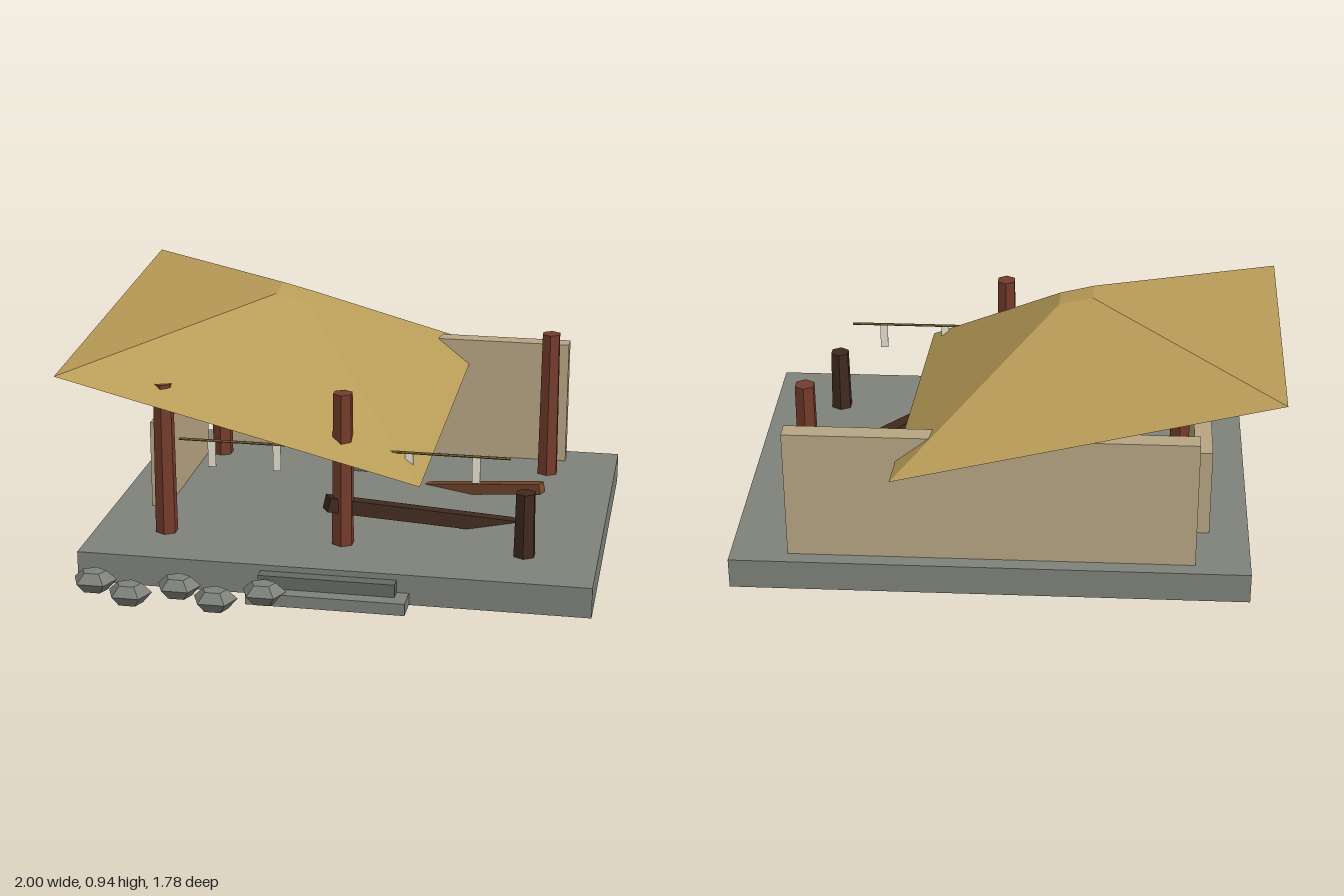
import * as THREE from 'three';

const mat = (color) => new THREE.MeshStandardMaterial({ color, flatShading: true });
const stone = mat(0x7f827b), darkStone = mat(0x666964), plaster = mat(0xb8a684);
const redWood = mat(0x743c2c), charred = mat(0x3f2a1e), brownWood = mat(0x75492c);
const thatch = mat(0xb99c58), rope = mat(0x8a7340), paper = mat(0xe8e2d2), violet = mat(0x6f3fc0);

export function createModel() {
  const model = new THREE.Group();

  const add = (name, geometry, material, x = 0, y = 0, z = 0) => {
    const mesh = new THREE.Mesh(geometry, material);
    mesh.name = name;
    mesh.position.set(x, y, z);
    model.add(mesh);
    return mesh;
  };

  // Box given by its extents
  const block = (name, material, x0, x1, y0, y1, z0, z1) =>
    add(name, new THREE.BoxGeometry(x1 - x0, y1 - y0, z1 - z0), material,
      (x0 + x1) / 2, (y0 + y1) / 2, (z0 + z1) / 2);

  // Square timber running between two points
  const beam = (name, material, from, to, size) => {
    const a = new THREE.Vector3(...from), b = new THREE.Vector3(...to);
    const mesh = add(name, new THREE.BoxGeometry(size, size, a.distanceTo(b)), material);
    mesh.position.copy(a).lerp(b, 0.5);
    mesh.lookAt(b);
  };

  // Platform and front steps
  const floor = 0.115;
  block('platform', stone, -0.89, 1, 0, floor, -0.78, 0.655);
  block('lowerStep', stone, -0.235, 0.345, 0, 0.045, 0.64, 0.755);
  block('upperStep', darkStone, -0.2, 0.3, 0.045, 0.093, 0.64, 0.702);

  // Walls
  block('backWall', plaster, -0.69, 0.79, floor, 0.612, -0.725, -0.657);
  block('sideWall', plaster, -0.745, -0.68, floor, 0.455, -0.505, 0.145);

  // Hexagonal posts, one broken off short
  const post = (name, material, x, z, top) =>
    add(name, new THREE.CylinderGeometry(0.038, 0.043, top - floor, 6), material, x, (top + floor) / 2, z);
  for (const [x, z] of [[-0.62, 0.39], [0.055, 0.39], [0.73, -0.51], [-0.62, -0.51]]) {
    post('post', redWood, x, z, 0.7);
  }
  post('brokenPost', charred, 0.73, 0.39, 0.36);

  // Collapsed hip roof, tilted to one corner
  const roof = add('roof', new THREE.CylinderGeometry(0.063 * Math.SQRT2, 0.7 * Math.SQRT2, 0.29, 4),
    thatch, -0.27, 0.774, -0.181);
  roof.rotation.set(0.1, Math.PI / 4, -0.245, 'ZXY');

  // Fallen beams
  beam('fallenBeam', charred, [0.0, 0.28, 0.42], [0.66, 0.09, 0.045], 0.054);
  beam('fallenBeam', brownWood, [0.745, 0.196, -0.105], [0.25, 0.09, -0.31], 0.042);

  // Altar with orb
  block('altar', darkStone, -0.1, 0.21, floor, 0.24, -0.565, -0.385);
  add('orb', new THREE.IcosahedronGeometry(0.045, 1), violet, 0.055, 0.283, -0.473);

  // Rope with hanging paper strips
  const line = add('rope', new THREE.CylinderGeometry(0.005, 0.005, 1.235, 6), rope, 0.055, 0.487, 0.395);
  line.rotation.z = Math.PI / 2;
  for (let i = -2; i <= 2; i++) {
    add('paperStrip', new THREE.BoxGeometry(0.03, 0.1, 0.005), paper, 0.055 + i * 0.2465, 0.435, 0.395);
  }

  // Row of flattened five-sided rocks
  const profile = [[0, 0.01], [0.05, 0.01], [0.084, 0.048], [0.046, 0.084], [0, 0.086]]
    .map(([r, y]) => new THREE.Vector2(r, y));
  const rockGeometry = new THREE.LatheGeometry(profile, 5).rotateY(Math.PI).scale(1, 1, 0.8);
  for (let i = 0; i < 5; i++) {
    add('rock', rockGeometry, stone, -0.8 + i * 0.1575, 0, i % 2 ? 0.838 : 0.747);
  }

  return model;
}
